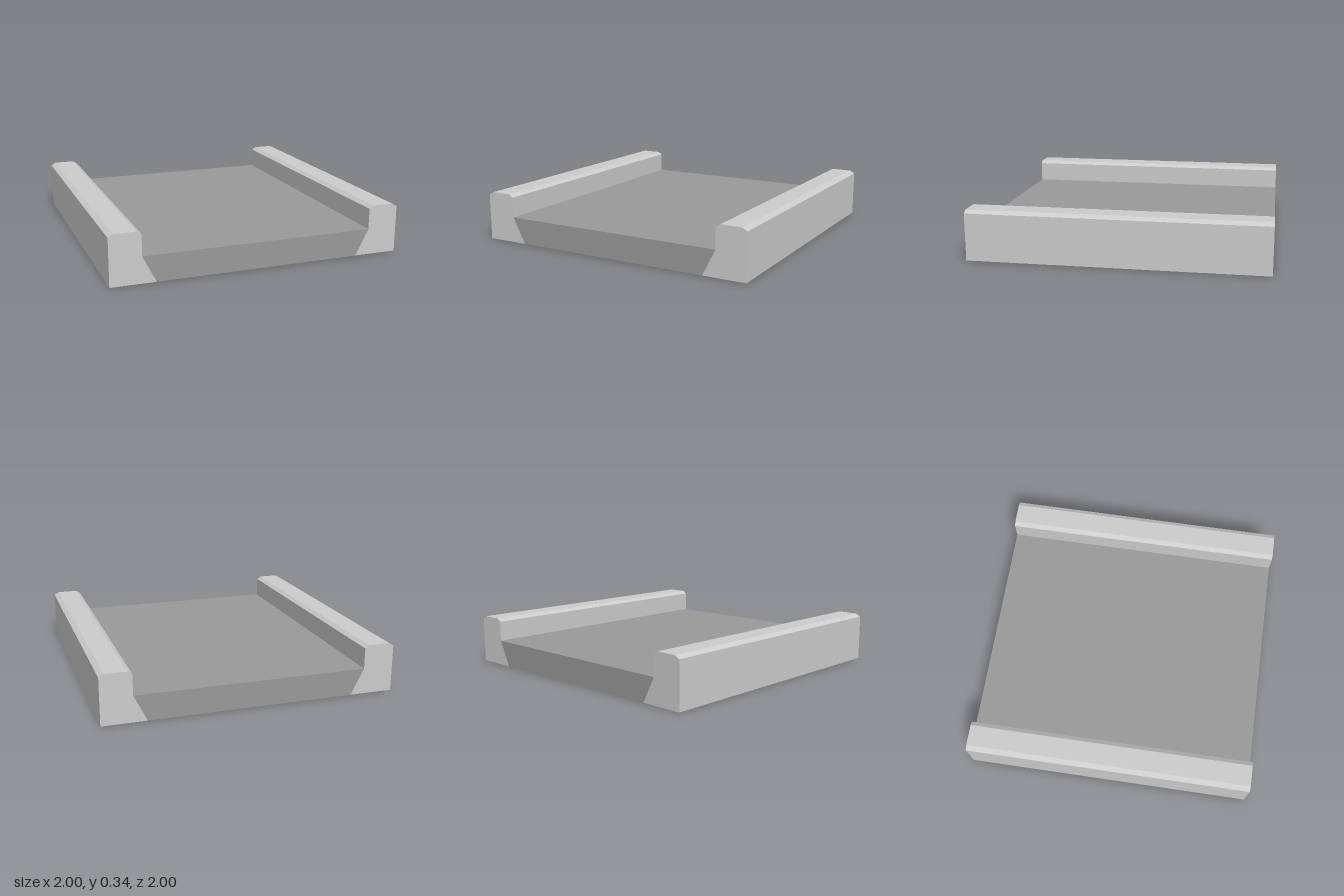
import * as THREE from 'three';

const LENGTH = 2;

// Extrudes a cross-section in x and y along the full length, centred on z
function extrudeProfile(points, material, name) {
  const shape = new THREE.Shape(points.map(([x, y]) => new THREE.Vector2(x, y)));
  const geometry = new THREE.ExtrudeGeometry(shape, { depth: LENGTH, bevelEnabled: false });
  geometry.translate(0, 0, -LENGTH / 2);
  const mesh = new THREE.Mesh(geometry, material);
  mesh.name = name;
  return mesh;
}

export function createModel() {
  const group = new THREE.Group();
  group.name = 'roadSection';

  const curbGrey = new THREE.MeshStandardMaterial({ color: 0xcccccc });
  curbGrey.name = 'light grey';
  const roadGrey = new THREE.MeshStandardMaterial({ color: 0x999999 });
  roadGrey.name = 'dark grey';

  // Road slab, narrowing towards the ground
  const slab = [[-0.7, 0], [0.7, 0], [0.79, 0.178], [-0.79, 0.178]];
  group.add(extrudeProfile(slab, roadGrey, 'roadSlab'));

  // Raised curbs with bevelled tops and a foot sloping in under the slab
  const curb = [
    [0.7, 0], [1, 0], [1, 0.32], [0.965, 0.34],
    [0.82, 0.34], [0.79, 0.32], [0.79, 0.178],
  ];
  for (const [side, name] of [[1, 'leftCurb'], [-1, 'rightCurb']]) {
    group.add(extrudeProfile(curb.map(([x, y]) => [side * x, y]), curbGrey, name));
  }

  return group;
}
